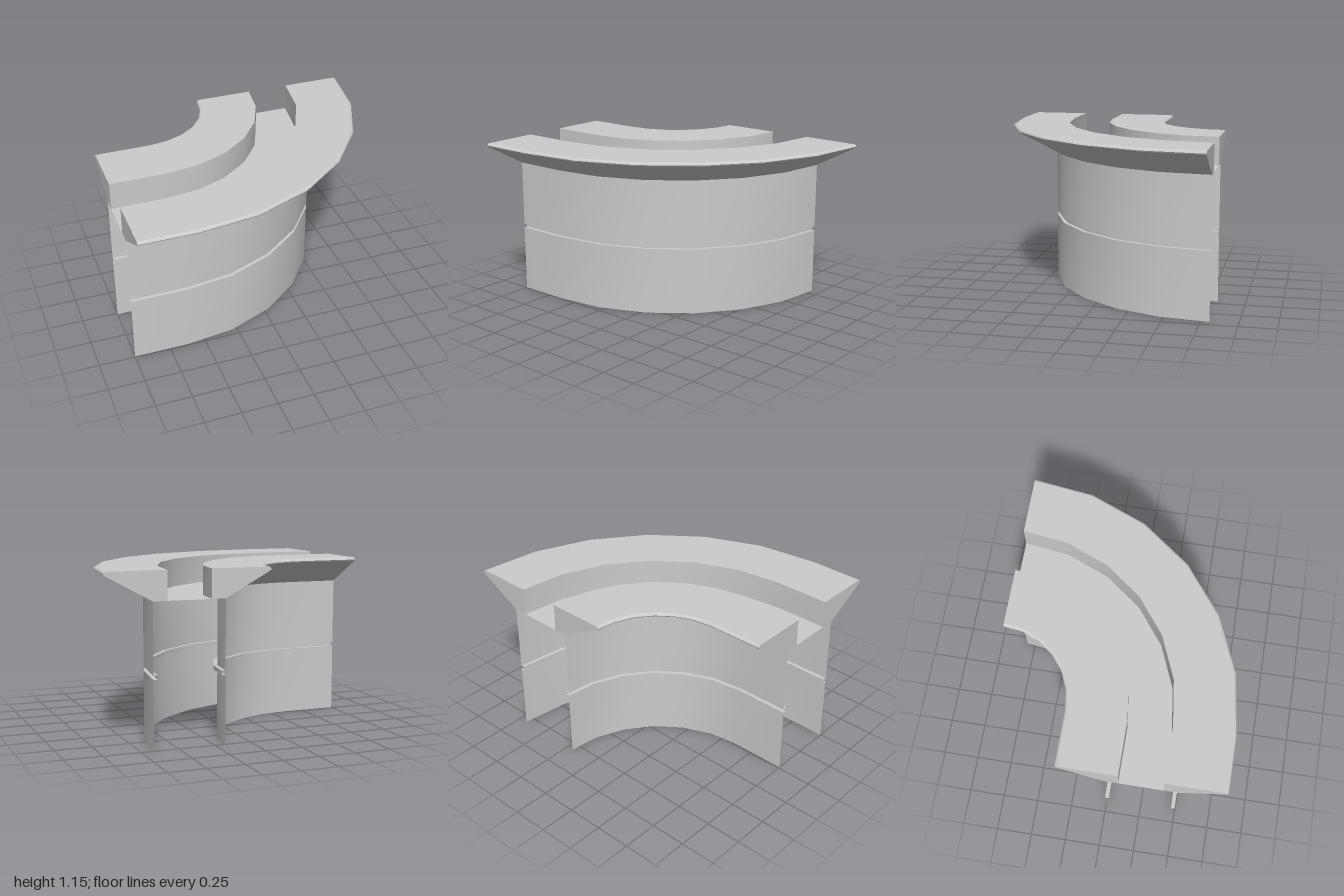
import * as THREE from 'three';
import { toCreasedNormals } from 'three/addons/utils/BufferGeometryUtils.js';

const CX = -0.62, CZ = -0.81; // centre of the bend
const MID = 1.0625;           // radius of the channel's centre line
const STEPS = 6;

// Path: a short straight run, then a quarter bend. Each station maps (radius, height) to a point.
const stations = [(r, y) => [-1, y, CZ + r]];
for (let i = 0; i <= STEPS; i++) {
  const a = (i / STEPS) * Math.PI / 2;
  stations.push((r, y) => [CX + r * Math.sin(a), y, CZ + r * Math.cos(a)]);
}

// Sweep a profile of [radius, height] points; closed profiles get end caps.
function sweep(profile, closed) {
  const pos = [];
  const tri = (...pts) => pts.forEach((p) => pos.push(...p));
  const n = profile.length;
  for (let s = 0; s < stations.length - 1; s++) {
    for (let j = 0; j < (closed ? n : n - 1); j++) {
      const p = profile[j], q = profile[(j + 1) % n];
      const a = stations[s](...p), b = stations[s](...q);
      const c = stations[s + 1](...p), d = stations[s + 1](...q);
      tri(a, c, d);
      tri(a, d, b);
    }
  }
  if (closed) {
    const first = stations[0], last = stations[stations.length - 1];
    const faces = THREE.ShapeUtils.triangulateShape(profile.map((p) => new THREE.Vector2(...p)), []);
    for (const [i, j, k] of faces) {
      tri(first(...profile[i]), first(...profile[j]), first(...profile[k]));
      tri(last(...profile[i]), last(...profile[k]), last(...profile[j]));
    }
  }
  const geo = new THREE.BufferGeometry();
  geo.setAttribute('position', new THREE.Float32BufferAttribute(pos, 3));
  return toCreasedNormals(geo, 0.4);
}

// Profile reflected across the channel's centre line, keeping its facing
const mirror = (profile) => profile.map(([r, y]) => [2 * MID - r, y]).reverse();

export function createModel() {
  const group = new THREE.Group();
  const material = new THREE.MeshStandardMaterial({ color: 0xcccccc, side: THREE.DoubleSide });
  const add = (name, profile, closed) => {
    const mesh = new THREE.Mesh(sweep(profile, closed), material);
    mesh.name = name;
    group.add(mesh);
  };

  // Thin wall with a recessed groove halfway up
  const wall = [[1.304, 0], [1.304, 0.47], [1.278, 0.47], [1.278, 0.498], [1.304, 0.498], [1.304, 0.96]];
  // Flared coping with a slightly rounded rim
  const coping = [
    [1.21, 0.96], [1.304, 0.96], [1.605, 1.123], [1.615, 1.129],
    [1.62, 1.137], [1.615, 1.146], [1.603, 1.152], [1.21, 1.152],
  ];

  add('outerWall', wall, false);
  add('innerWall', mirror(wall), false);
  add('outerCoping', coping, true);
  add('innerCoping', mirror(coping), true);
  // Floor of the channel between the copings
  add('channelFloor', [[1.21, 0.96], [2 * MID - 1.21, 0.96]], false);
  return group;
}
